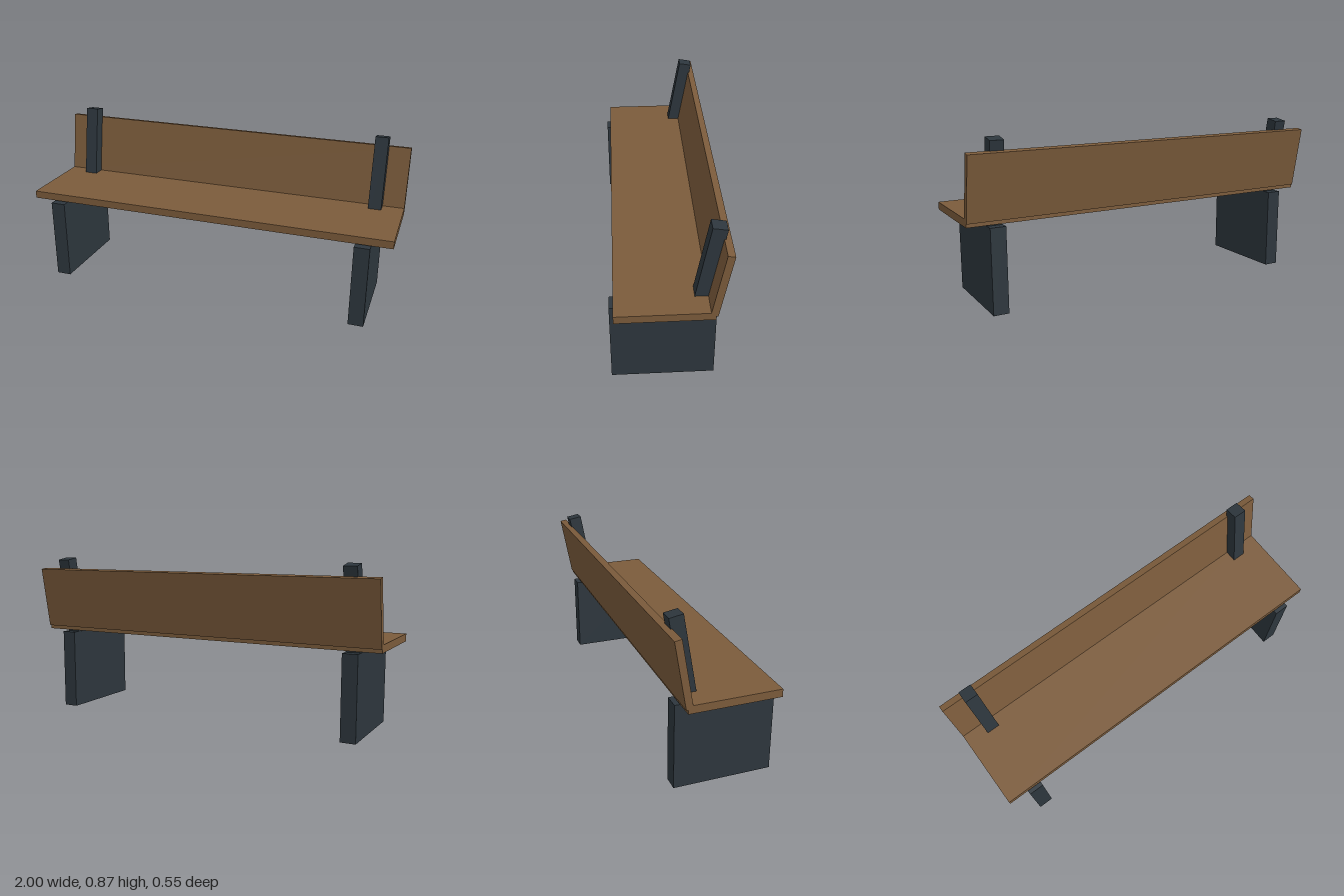
import * as THREE from 'three';

export function createModel() {
  const bench = new THREE.Group();
  bench.name = 'bench';

  const wood = new THREE.MeshStandardMaterial({ color: 0x7b5b3b });
  wood.name = 'brown wood';
  const metal = new THREE.MeshStandardMaterial({ color: 0x2d363d });
  metal.name = 'dark slate metal';

  const addBox = (name, material, size, position, tilt = 0) => {
    const mesh = new THREE.Mesh(new THREE.BoxGeometry(...size), material);
    mesh.name = name;
    mesh.position.set(...position);
    mesh.rotation.x = tilt;
    bench.add(mesh);
  };

  const lean = -THREE.MathUtils.degToRad(10); // backward lean of the back

  // Planks
  addBox('seat', wood, [2, 0.04, 0.46], [0, 0.47, 0.025]);
  addBox('backrest', wood, [2, 0.34, 0.035], [0, 0.64, -0.226], lean);

  // Slab legs and leaning posts, mirrored left and right
  for (const [side, s] of [['left', 1], ['right', -1]]) {
    addBox(`${side}Leg`, metal, [0.08, 0.44, 0.5], [s * 0.85, 0.22, 0.025]);
    addBox(`${side}BackPost`, metal, [0.07, 0.45, 0.07], [s * 0.85, 0.644, -0.181], lean);
  }
  return bench;
}
